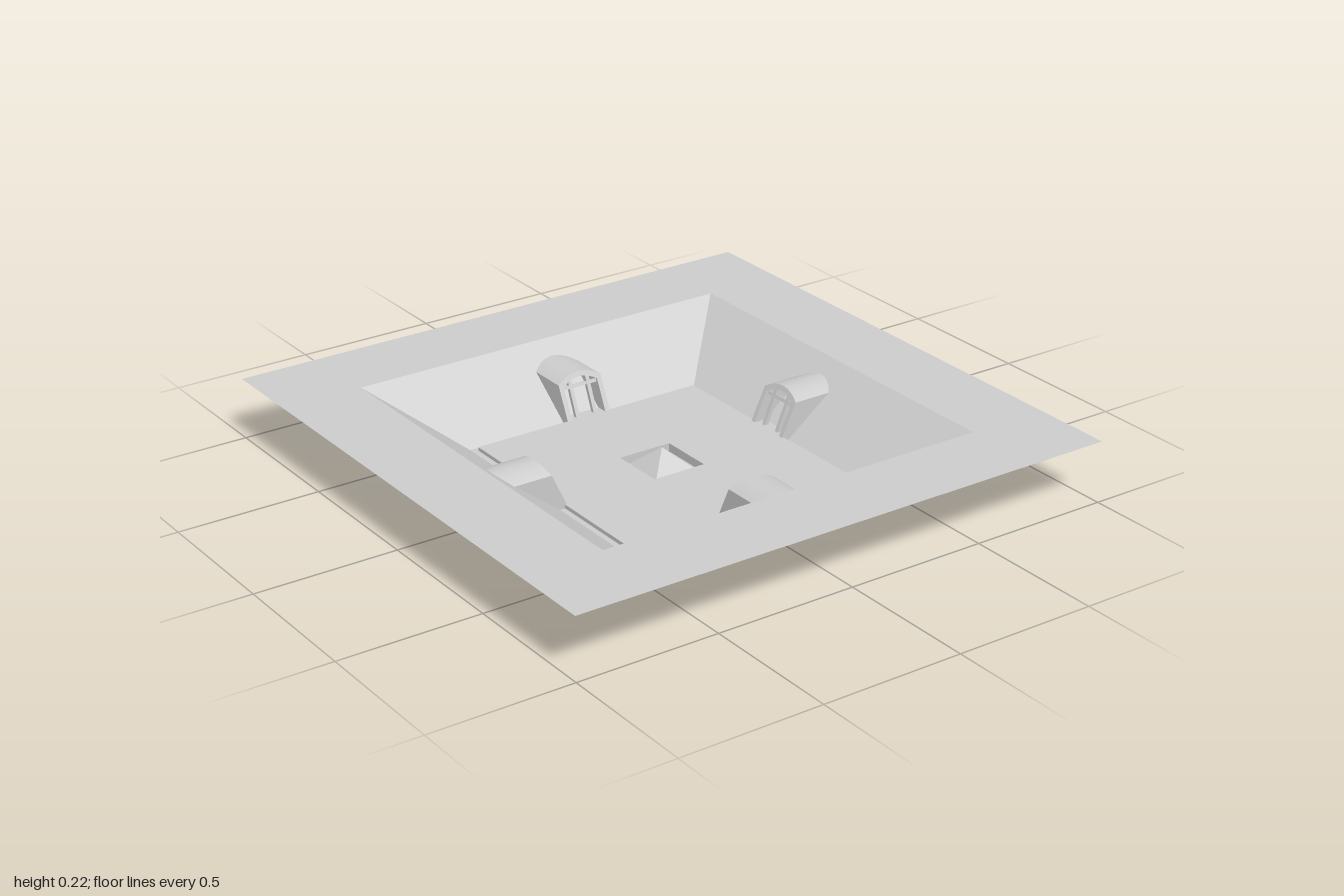
import * as THREE from 'three';
import { toCreasedNormals } from 'three/addons/utils/BufferGeometryUtils.js';

const FLOOR = 0.03, GUTTER = 0.017, RIM = 0.215;
const grey = new THREE.MeshStandardMaterial({ color: 0xcccccc, side: THREE.DoubleSide, flatShading: true });
const smooth = new THREE.MeshStandardMaterial({ color: 0xcccccc, side: THREE.DoubleSide });

function add(parent, name, geometry, material = grey) {
  const mesh = new THREE.Mesh(geometry, material);
  mesh.name = name;
  parent.add(mesh);
  return mesh;
}

const square = (r) => [[-r, -r], [r, -r], [r, r], [-r, r]].map(([x, y]) => new THREE.Vector2(x, y));

// Horizontal sheet with a square hole
function sheet(points, hole, y) {
  const shape = new THREE.Shape(points);
  shape.holes.push(new THREE.Path(square(hole)));
  return new THREE.ShapeGeometry(shape).rotateX(-Math.PI / 2).translate(0, y, 0);
}

// Open square frustum between two half-widths
function frustum(top, bottom, y0, y1) {
  return new THREE.CylinderGeometry(top * Math.SQRT2, bottom * Math.SQRT2, y1 - y0, 4, 1, true)
    .rotateY(Math.PI / 4).translate(0, (y0 + y1) / 2, 0);
}

// Arched shell with a leaning mouth and a back that follows the bank
function vaultGeometry() {
  const arch = new THREE.Shape();
  arch.moveTo(-0.085, 0.012);
  arch.lineTo(-0.085, 0.145);
  arch.quadraticCurveTo(0, 0.199, 0.085, 0.145);
  arch.lineTo(0.085, 0.012);
  arch.lineTo(0.067, 0.012);
  arch.lineTo(0.067, 0.135);
  arch.quadraticCurveTo(0, 0.177, -0.067, 0.135);
  arch.lineTo(-0.067, 0.012);
  const geo = new THREE.ExtrudeGeometry(arch, { depth: 1, bevelEnabled: false, curveSegments: 12 });
  const p = geo.attributes.position;
  for (let i = 0; i < p.count; i++) {
    const y = p.getY(i) - 0.012;
    p.setZ(i, p.getZ(i) > 0.5 ? -(0.42 + y * 0.47) : -Math.min(0.67, 0.5 + y * 1.33));
  }
  geo.deleteAttribute('normal');
  return toCreasedNormals(geo, 0.5);
}

// Covered entrance with leaning door bars
function entrance() {
  const group = new THREE.Group();
  add(group, 'entranceVault', vaultGeometry(), smooth);
  for (const s of [-1, 1]) {
    const bar = add(group, 'doorBar', new THREE.BoxGeometry(0.014, 0.145, 0.014));
    bar.position.set(s * 0.035, 0.085, -0.472);
    bar.rotation.x = -0.4;
  }
  const lintel = add(group, 'doorCrossbar', new THREE.BoxGeometry(0.136, 0.012, 0.012));
  lintel.position.set(0, 0.125, -0.489);
  lintel.rotation.x = -0.4;
  return group;
}

// Sunken channel on both sides of an entrance
function gutters() {
  const group = new THREE.Group();
  const h = FLOOR - GUTTER;
  for (const s of [-1, 1]) {
    add(group, 'gutterBottom', new THREE.PlaneGeometry(0.37, 0.02).rotateX(-Math.PI / 2))
      .position.set(s * 0.27, GUTTER, -0.445);
    add(group, 'gutterWall', new THREE.PlaneGeometry(0.35, h).rotateY(Math.PI))
      .position.set(s * 0.26, GUTTER + h / 2, -0.435);
    add(group, 'gutterEnd', new THREE.PlaneGeometry(0.035, h).rotateY(s * Math.PI / 2))
      .position.set(s * 0.085, GUTTER + h / 2, -0.4525);
  }
  return group;
}

export function createModel() {
  const model = new THREE.Group();
  model.name = 'sunkenCourt';

  // Ground and sloping banks
  add(model, 'groundPlate', sheet(square(1), 0.712, RIM));
  add(model, 'slopingBanks', frustum(0.712, 0.455, GUTTER, RIM));

  // Court floor, with a tongue running into each entrance
  const outline = [];
  for (let i = 0; i < 4; i++) {
    for (const [x, y] of [[0.435, -0.085], [0.471, -0.085], [0.471, 0.085], [0.435, 0.085], [0.435, 0.435]]) {
      outline.push(new THREE.Vector2(x, y).rotateAround(new THREE.Vector2(), i * Math.PI / 2));
    }
  }
  add(model, 'courtFloor', sheet(outline, 0.098, FLOOR));

  // Pit with a pyramid skylight
  add(model, 'pitWalls', frustum(0.098, 0.098, 0, FLOOR));
  add(model, 'pitLedge', sheet(square(0.098), 0.088, 0));
  add(model, 'pyramidSkylight', frustum(0.0001, 0.088, 0, 0.08));

  // Entrances and gutters on all four sides
  for (let i = 0; i < 4; i++) {
    const side = new THREE.Group();
    side.name = 'courtSide';
    side.add(entrance(), gutters());
    side.children[0].name = 'entrance';
    side.children[1].name = 'gutter';
    side.rotation.y = i * Math.PI / 2;
    model.add(side);
  }
  return model;
}
